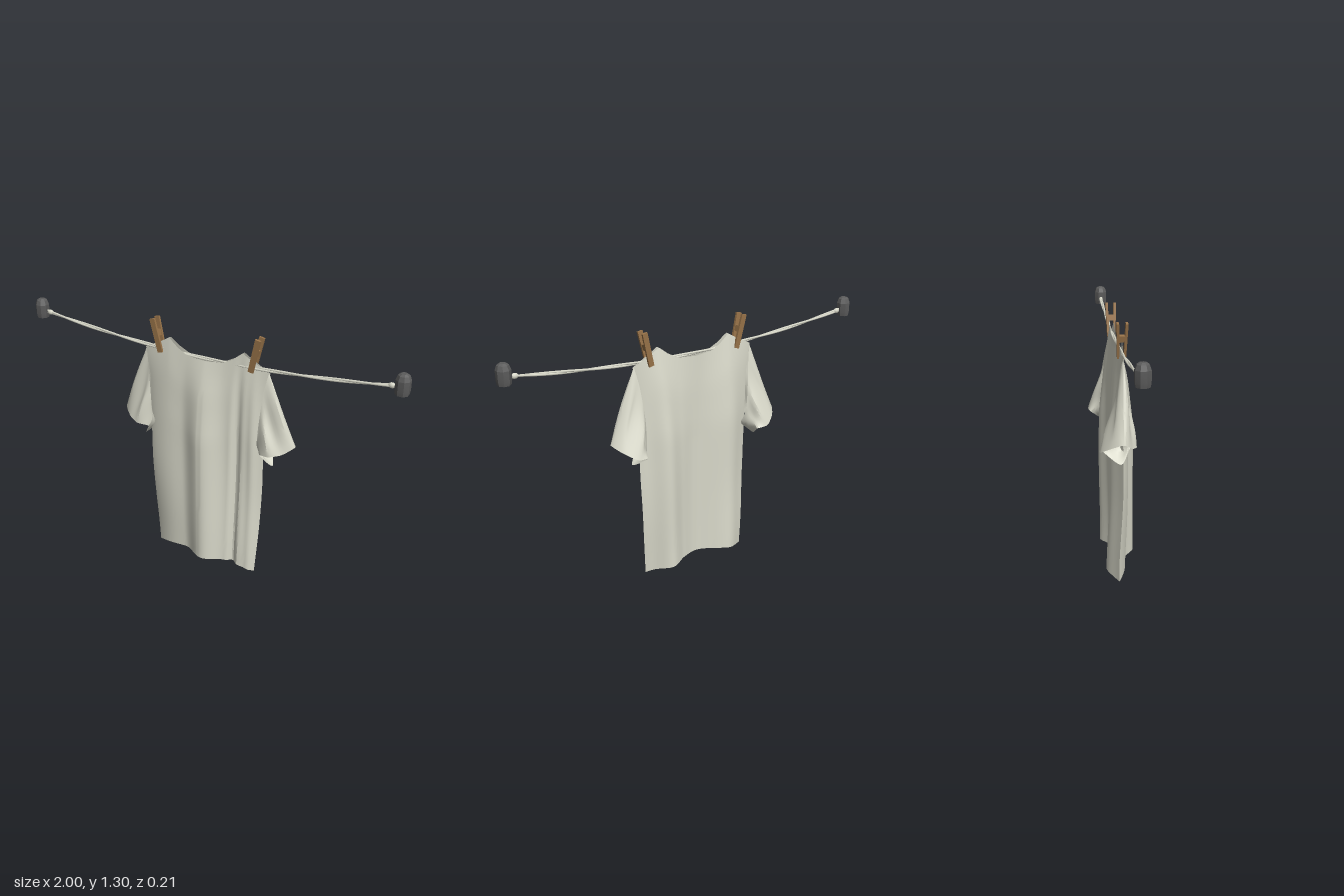
import * as THREE from 'three';
import { toCreasedNormals } from 'three/addons/utils/BufferGeometryUtils.js';

const flat = (name, color, extra = {}) => Object.assign(new THREE.MeshStandardMaterial({ color, ...extra }), { name });

// Surface from a rule point(i / cols, j / rows) -> [x, y, z]
function sheet(cols, rows, point) {
  const pos = [], idx = [];
  for (let j = 0; j <= rows; j++)
    for (let i = 0; i <= cols; i++) pos.push(...point(i / cols, j / rows));
  for (let j = 0; j < rows; j++)
    for (let i = 0; i < cols; i++) {
      const a = j * (cols + 1) + i, b = a + 1, c = a + cols + 1, d = c + 1;
      idx.push(a, b, d, a, d, c);
    }
  const g = new THREE.BufferGeometry();
  g.setAttribute('position', new THREE.Float32BufferAttribute(pos, 3));
  g.setIndex(idx);
  return toCreasedNormals(g, 0.5);
}

// Piecewise linear curve through [input, output] pairs
function along(points, t) {
  for (let i = 1; i < points.length; i++) {
    const [a, p] = points[i - 1], [b, q] = points[i];
    if (t <= b) return p + (q - p) * Math.max(0, (t - a) / (b - a));
  }
  return points[points.length - 1][1];
}

const collar = [[0, 1.14], [0.1, 1.148], [0.15, 1.175], [0.2, 1.215], [0.25, 1.185], [0.34, 1.14]];
const halfWidth = [[0, 0.292], [0.2, 0.305], [0.45, 0.316], [0.65, 0.318], [0.85, 0.318], [1, 0.34]];
const halfDepth = [[0, 0.036], [0.65, 0.036], [0.85, 0.026], [1, 0.009]];
const foldGrowth = [[0, 1], [0.3, 0.88], [0.62, 0.78], [0.85, 0.4], [1, 0]];

// Folds: x at hem, x at top, half width, depth outward
const frontFolds = [
  [0.02, 0.0, 0.13, 0.056], [0.17, 0.19, 0.035, -0.025], [0.27, 0.27, 0.035, 0.018], [-0.2, -0.2, 0.1, 0.004],
];
const backFolds = [
  [-0.2, -0.21, 0.11, 0.03], [0.175, 0.2, 0.1, 0.045], [-0.01, 0, 0.13, -0.035],
];

// Front (side = 1) or back (side = -1) of the shirt body
function panel(side, folds) {
  return sheet(64, 24, (i, v) => {
    const u = (i * 2 - 1) * side, edge = Math.abs(u);
    const x = u * along(halfWidth, v);
    const hem = 0.045 - 0.037 * Math.pow(edge, 3);
    const y = hem + (along(collar, Math.abs(x)) - hem) * v;
    let depth = along(halfDepth, v);
    for (const [x0, x1, w, d] of folds) {
      const off = Math.min(1, Math.abs(x - (x0 + (x1 - x0) * v)) / w);
      depth += d * Math.pow(Math.cos(off * Math.PI / 2), 2) * along(foldGrowth, v);
    }
    // open the neck a little around the middle
    depth += 0.012 * Math.max(0, 1 - Math.abs(x) / 0.2) * v;
    const sway = 0.012 * Math.sin(v * 7 + u * 2) * (1 - v) * edge;
    return [x, y, 0.011 + side * depth * (1 - Math.pow(edge, 5)) + sway];
  });
}

// Sleeve loops, running from the top over the front to the underside and back
const loop = (points) => new THREE.CatmullRomCurve3(points.map((p) => new THREE.Vector3(...p)), true, 'catmullrom', 0.4);
const armhole = loop([
  [0.335, 1.14, 0.011], [0.318, 1.05, 0.028], [0.305, 0.92, 0.038], [0.295, 0.8, 0.04],
  [0.285, 0.72, 0.008], [0.295, 0.8, -0.03], [0.305, 0.92, -0.028], [0.318, 1.05, -0.01],
]);
const cuff = loop([
  [0.478, 0.782, 0.0], [0.43, 0.75, 0.045], [0.37, 0.735, 0.072], [0.315, 0.72, 0.05],
  [0.365, 0.65, 0.0], [0.325, 0.71, -0.09], [0.385, 0.72, -0.1], [0.445, 0.755, -0.06],
]);

// Short sleeve lofted from armhole to open cuff, with pleats growing downward
function sleeve(side) {
  return sheet(40, 10, (i, s) => {
    const t = side > 0 ? 1 - i : i;
    const p = armhole.getPoint(t).lerp(cuff.getPoint(t), s);
    const pleat = 0.008 * Math.sin(Math.PI * s) * Math.sin(t * Math.PI * 10);
    return [side * (p.x + pleat), p.y, p.z + pleat];
  });
}

export function createModel() {
  const cloth = flat('cloth', 0xdadacb, { side: THREE.DoubleSide });
  const cord = flat('cord', 0xdadacb);
  const wood = flat('wood', 0x987349);
  const iron = flat('iron', 0x5b5b5b);

  const model = new THREE.Group();
  const add = (parent, name, geometry, material, x = 0, y = 0, z = 0) => {
    const m = new THREE.Mesh(geometry, material);
    m.name = name;
    m.position.set(x, y, z);
    parent.add(m);
    return m;
  };

  // Shirt
  const shirt = new THREE.Group();
  shirt.name = 'shirt';
  model.add(shirt);
  add(shirt, 'shirtFront', panel(1, frontFolds), cloth);
  add(shirt, 'shirtBack', panel(-1, backFolds), cloth);
  add(shirt, 'leftSleeve', sleeve(1), cloth);
  add(shirt, 'rightSleeve', sleeve(-1), cloth);

  // Sagging line of two loosely twisted strands
  for (const phase of [0, Math.PI]) {
    const pts = [];
    for (let i = 0; i <= 60; i++) {
      const x = -0.94 + (1.88 * i) / 60, t = i * 0.3 + phase;
      const y = 1.147 + 0.07 * Math.pow(Math.abs(x) / 0.94, 1.9);
      pts.push(new THREE.Vector3(x, y + 0.004 * Math.cos(t), 0.016 + 0.004 * Math.sin(t)));
    }
    add(model, 'lineStrand', new THREE.TubeGeometry(new THREE.CatmullRomCurve3(pts), 150, 0.0055, 6), cord);
  }

  // Wall anchors and knots
  const profile = [[0, 0], [0.031, 0], [0.035, 0.02], [0.035, 0.068], [0.027, 0.09], [0.015, 0.098], [0, 0.098]]
    .map(([r, y]) => new THREE.Vector2(r, y));
  const anchor = toCreasedNormals(new THREE.LatheGeometry(profile, 8, Math.PI / 8), 0.3);
  for (const s of [-1, 1]) {
    add(model, 'anchor', anchor, iron, s * 0.967, 1.183, 0.018);
    const knot = add(model, 'knot', new THREE.IcosahedronGeometry(0.014, 1), cord, s * 0.918, 1.214, 0.016);
    knot.scale.set(1.2, 1, 0.8);

    // Clothes pegs, leaning outward
    const peg = new THREE.Group();
    peg.name = 'peg';
    peg.position.set(s * 0.265, 1.217, 0.012);
    peg.rotation.z = -s * 0.22;
    model.add(peg);
    for (const f of [-1, 1]) {
      const leg = add(peg, 'pegLeg', new THREE.BoxGeometry(0.027, 0.172, 0.012), wood, 0, 0, f * 0.018);
      leg.rotation.x = f * 0.04;
    }
    add(peg, 'pegJoint', new THREE.BoxGeometry(0.022, 0.03, 0.03), wood, 0, 0.01, 0);
  }
  return model;
}
